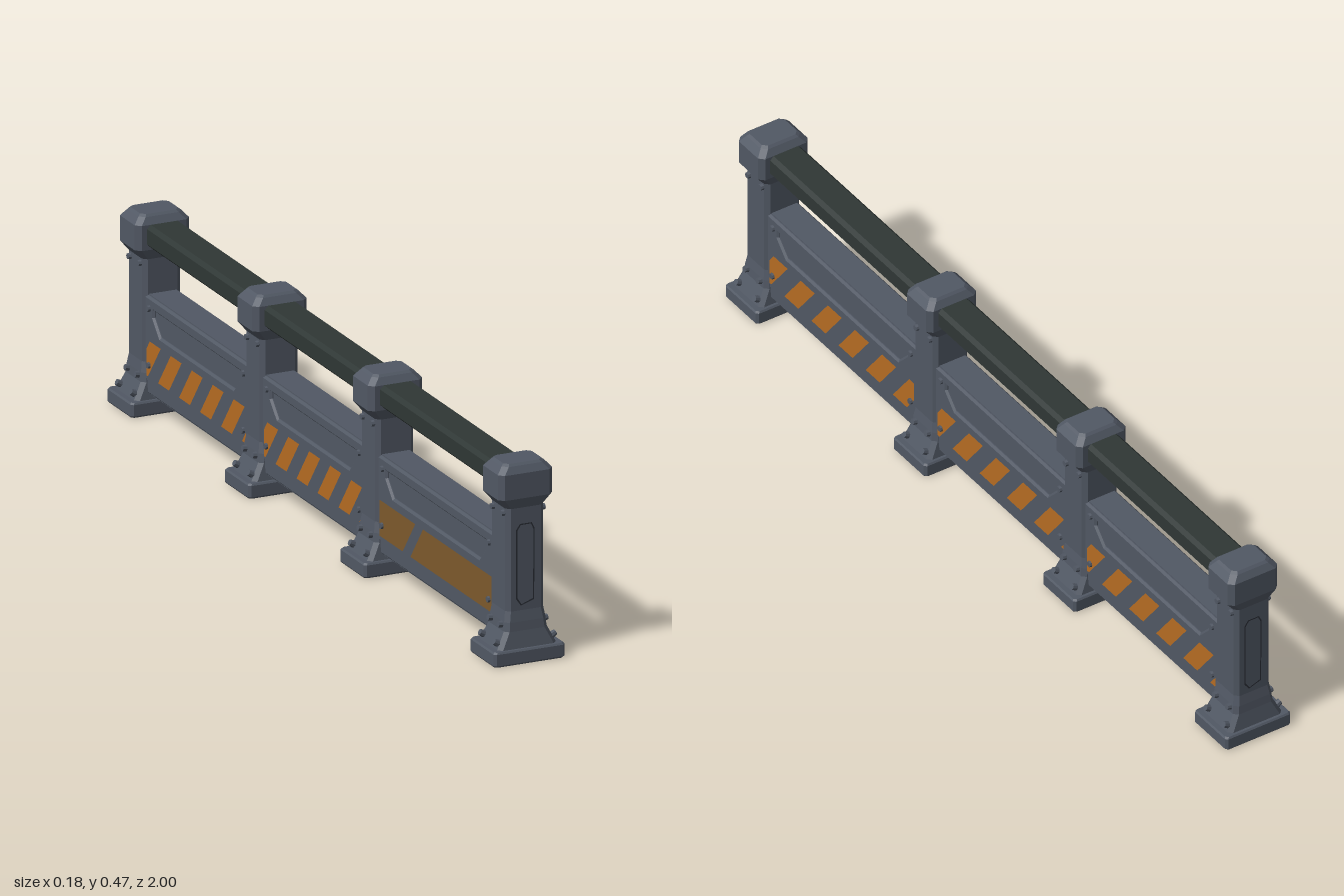
import * as THREE from 'three';

const mat = (name, color, extra = {}) => {
  const m = new THREE.MeshStandardMaterial({ color, ...extra });
  m.name = name;
  return m;
};

// Stack of chamfered rectangles [y, halfX, halfZ, chamfer], closed at both ends
function loft(sections) {
  const rings = sections.map(([y, a, b, c]) => [
    [a, b - c], [a - c, b], [c - a, b], [-a, b - c],
    [-a, c - b], [c - a, -b], [a - c, -b], [a, c - b],
  ].map(([x, z]) => [x, y, z]));
  const pos = [];
  const tri = (...p) => p.forEach((v) => pos.push(...v));
  for (let i = 0; i + 1 < rings.length; i++) {
    for (let j = 0; j < 8; j++) {
      const k = (j + 1) % 8, lo = rings[i], hi = rings[i + 1];
      tri(lo[j], hi[k], lo[k]);
      tri(lo[j], hi[j], hi[k]);
    }
  }
  const bottom = rings[0], top = rings[rings.length - 1];
  for (let j = 1; j < 7; j++) {
    tri(bottom[0], bottom[j], bottom[j + 1]);
    tri(top[0], top[j + 1], top[j]);
  }
  const g = new THREE.BufferGeometry();
  g.setAttribute('position', new THREE.Float32BufferAttribute(pos, 3));
  g.computeVertexNormals();
  return g;
}

const polygon = (pts) => new THREE.Shape(pts.map(([x, y]) => new THREE.Vector2(x, y)));

// Keep the part of a polygon where s * x <= limit
function clip(pts, s, limit) {
  const out = [];
  pts.forEach((p, i) => {
    const q = pts[(i + 1) % pts.length];
    const dp = limit - s * p[0], dq = limit - s * q[0];
    if (dp >= 0) out.push(p);
    if (dp * dq < 0) {
      const t = dp / (dp - dq);
      out.push([p[0] + (q[0] - p[0]) * t, p[1] + (q[1] - p[1]) * t]);
    }
  });
  return out;
}

export function createModel() {
  const steel = mat('slate steel', 0x515864);
  const railPaint = mat('dark rail', 0x2f3735);
  const orange = mat('hazard orange', 0xb56c22);
  const worn = mat('worn orange', 0x7d5a2c);
  const seam = mat('dark seam', 0x2a2e36);

  const model = new THREE.Group();
  const add = (parent, name, geometry, material, x = 0, y = 0, z = 0) => {
    const m = new THREE.Mesh(geometry, material);
    m.name = name;
    m.position.set(x, y, z);
    parent.add(m);
    return m;
  };

  // Group whose local +z points outward along the given heading
  const face = (parent, name, angle) => {
    const g = new THREE.Group();
    g.name = name;
    g.rotation.y = angle;
    parent.add(g);
    return g;
  };

  const boltGeo = new THREE.CylinderGeometry(0.007, 0.009, 0.014, 8).toNonIndexed();
  boltGeo.computeVertexNormals();
  const bolt = (parent, x, y, z, tilt = 0) => {
    add(parent, 'bolt', boltGeo, steel, x, y, z).rotation.x = Math.PI / 2 - tilt;
  };

  // Posts
  const baseGeo = loft([[0, 0.085, 0.062, 0.006], [0.004, 0.088, 0.065, 0.006],
    [0.031, 0.088, 0.065, 0.006], [0.035, 0.085, 0.062, 0.006]]);
  const columnGeo = loft([[0.034, 0.073, 0.056, 0.01], [0.074, 0.053, 0.049, 0.01],
    [0.095, 0.051, 0.047, 0.01], [0.12, 0.047, 0.043, 0.01], [0.37, 0.047, 0.043, 0.01]]);
  const headGeo = loft([[0.362, 0.047, 0.043, 0.01], [0.386, 0.067, 0.05, 0.012],
    [0.445, 0.067, 0.05, 0.012], [0.461, 0.053, 0.04, 0.012], [0.466, 0.047, 0.034, 0.01]]);
  const inset = [[-0.025, 0.31], [-0.015, 0.324], [0.014, 0.324], [0.021, 0.31],
    [0.02, 0.142], [-0.013, 0.131], [-0.025, 0.148]];
  const shrunk = inset.map(([x, y]) => [x * 0.87, 0.23 + (y - 0.23) * 0.97]);
  const seamShape = polygon(inset);
  seamShape.holes.push(new THREE.Path(polygon(shrunk).getPoints()));
  const seamGeo = new THREE.ShapeGeometry(seamShape);

  const postZ = [0.935, 0.265, -0.33, -0.935];
  postZ.forEach((z, i) => {
    const post = new THREE.Group();
    post.name = 'post';
    post.position.z = z;
    model.add(post);
    add(post, 'postBase', baseGeo, steel);
    add(post, 'postColumn', columnGeo, steel);
    add(post, 'postHead', headGeo, steel);
    for (const s of [1, -1]) {
      const side = face(post, 'postBolts', s * Math.PI / 2);
      for (const u of [-0.026, 0.026]) {
        bolt(side, u, 0.35, 0.047);
        bolt(side, u, 0.088, 0.054, 0.15);
        bolt(side, u * 1.4, 0.05, 0.07, 0.5);
      }
    }
    // Outlined inset on the outer face of the end posts
    if (i === 0 || i === 3) {
      const end = face(post, 'endInset', i === 0 ? 0 : Math.PI);
      add(end, 'insetSeam', seamGeo, seam, 0, 0, 0.0437);
    }
  });

  // Handrail running through the post heads
  const railGeo = loft([[-0.93, 0.042, 0.027, 0.009], [0.93, 0.042, 0.027, 0.009]]);
  railGeo.rotateX(Math.PI / 2);
  add(model, 'handrail', railGeo, railPaint, 0, 0.418, 0);

  // Panels between the posts
  for (let i = 0; i < 3; i++) {
    const half = (postZ[i] - postZ[i + 1]) / 2 - 0.043;
    const bay = new THREE.Group();
    bay.name = 'panel';
    bay.position.z = (postZ[i] + postZ[i + 1]) / 2;
    model.add(bay);
    const len = half + 0.02;
    add(bay, 'panelCore', loft([[0.045, 0.034, len, 0.001], [0.28, 0.034, len, 0.001]]), steel);

    // Outer skin with a recessed trapezoid along the top
    const skin = polygon([[-len, 0.048], [len, 0.048], [len, 0.278], [-len, 0.278]]);
    const w = half - 0.035;
    skin.holes.push(new THREE.Path(polygon([[-w, 0.25], [w, 0.25], [w, 0.235],
      [w - 0.035, 0.198], [0.035 - w, 0.198], [-w, 0.235]]).getPoints()));
    const skinGeo = new THREE.ExtrudeGeometry(skin, {
      depth: 0.003, bevelThickness: 0.005, bevelSize: 0.005, bevelOffset: -0.005, bevelSegments: 1,
    });

    for (const s of [1, -1]) {
      const side = face(bay, s > 0 ? 'leftSide' : 'rightSide', s * Math.PI / 2);
      add(side, 'panelSkin', skinGeo, steel, 0, 0, 0.033);
      for (const u of [-1, 1]) {
        bolt(side, u * (half - 0.017), 0.252, 0.04);
        bolt(side, u * (half - 0.017), 0.118, 0.04);
      }

      // Slanted hazard stripes; one side carries broad worn patches instead
      const isWorn = i === 0 && s < 0;
      const bands = [];
      if (isWorn) bands.push([-0.4, 0.23], [-0.13, 0.5]);
      else for (let u = -half - 0.045; u < half; u += 0.108) bands.push([u, 0.056]);
      for (const [u, width] of bands) {
        let pts = [[u, 0.09], [u + width, 0.09], [u + width + 0.065, 0.175], [u + 0.065, 0.175]];
        pts = clip(clip(pts, 1, half - 0.004), -1, half - 0.004);
        if (pts.length < 3) continue;
        add(side, isWorn ? 'wornPatch' : 'hazardStripe',
          new THREE.ShapeGeometry(polygon(pts)), isWorn ? worn : orange, 0, 0, 0.0418);
      }
    }
  }
  return model;
}
